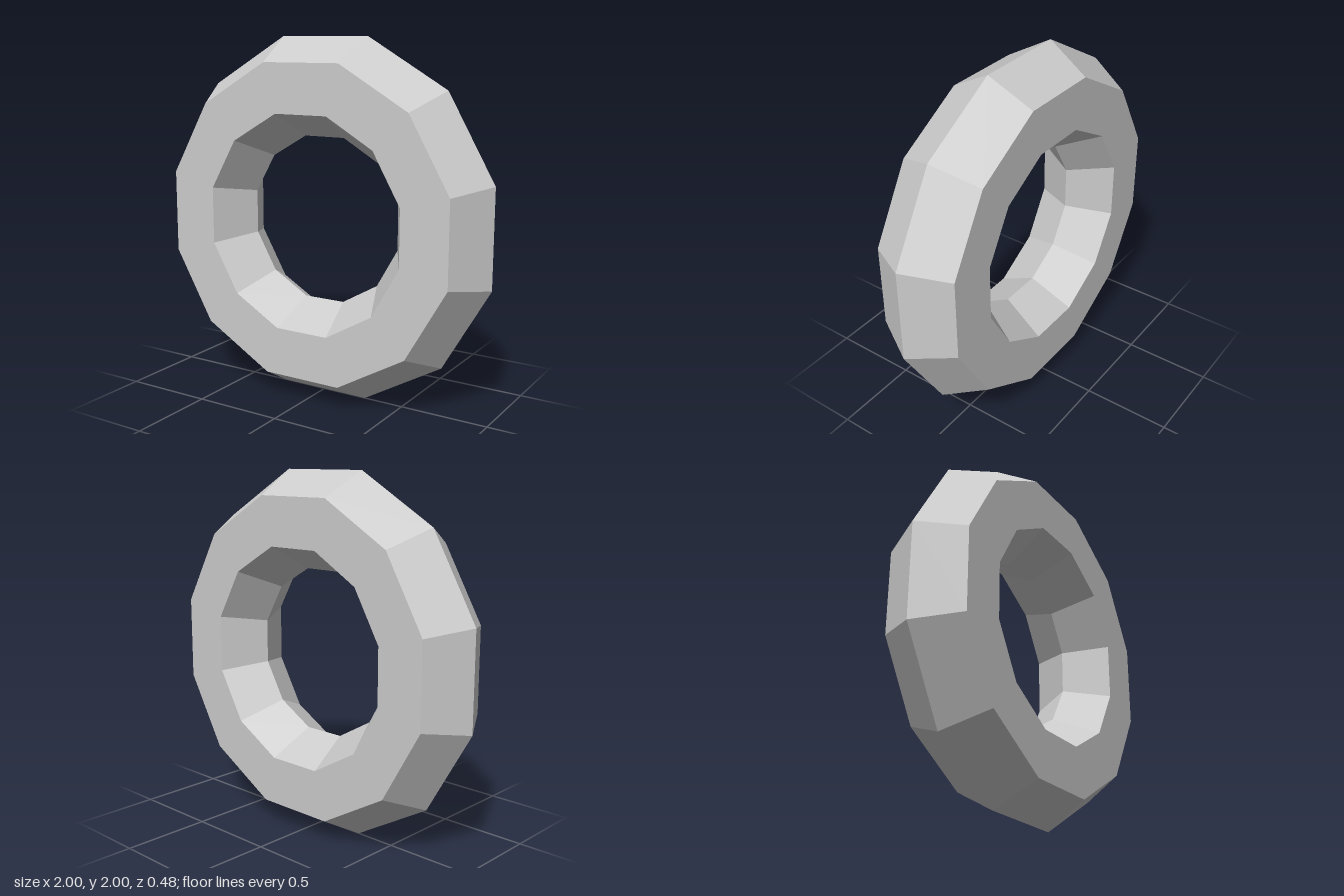
import * as THREE from 'three';

export function createModel() {
  const group = new THREE.Group();
  const sides = 12;

  // Flat-to-flat radii of the ring, converted to corner radii
  const toCorner = 1 / Math.cos(Math.PI / sides);
  const outer = 1 * toCorner;
  const inner = 0.46 * toCorner;

  // Twelve-sided ring with a hexagonal section, resting on a flat side
  const geometry = new THREE.TorusGeometry((outer + inner) / 2, (outer - inner) / 2, 6, sides);
  geometry.rotateZ(Math.PI / sides);
  geometry.translate(0, 1, 0);

  const material = new THREE.MeshStandardMaterial({ color: 0xcccccc, flatShading: true });
  const ring = new THREE.Mesh(geometry, material);
  ring.name = 'ring';
  group.add(ring);
  return group;
}
